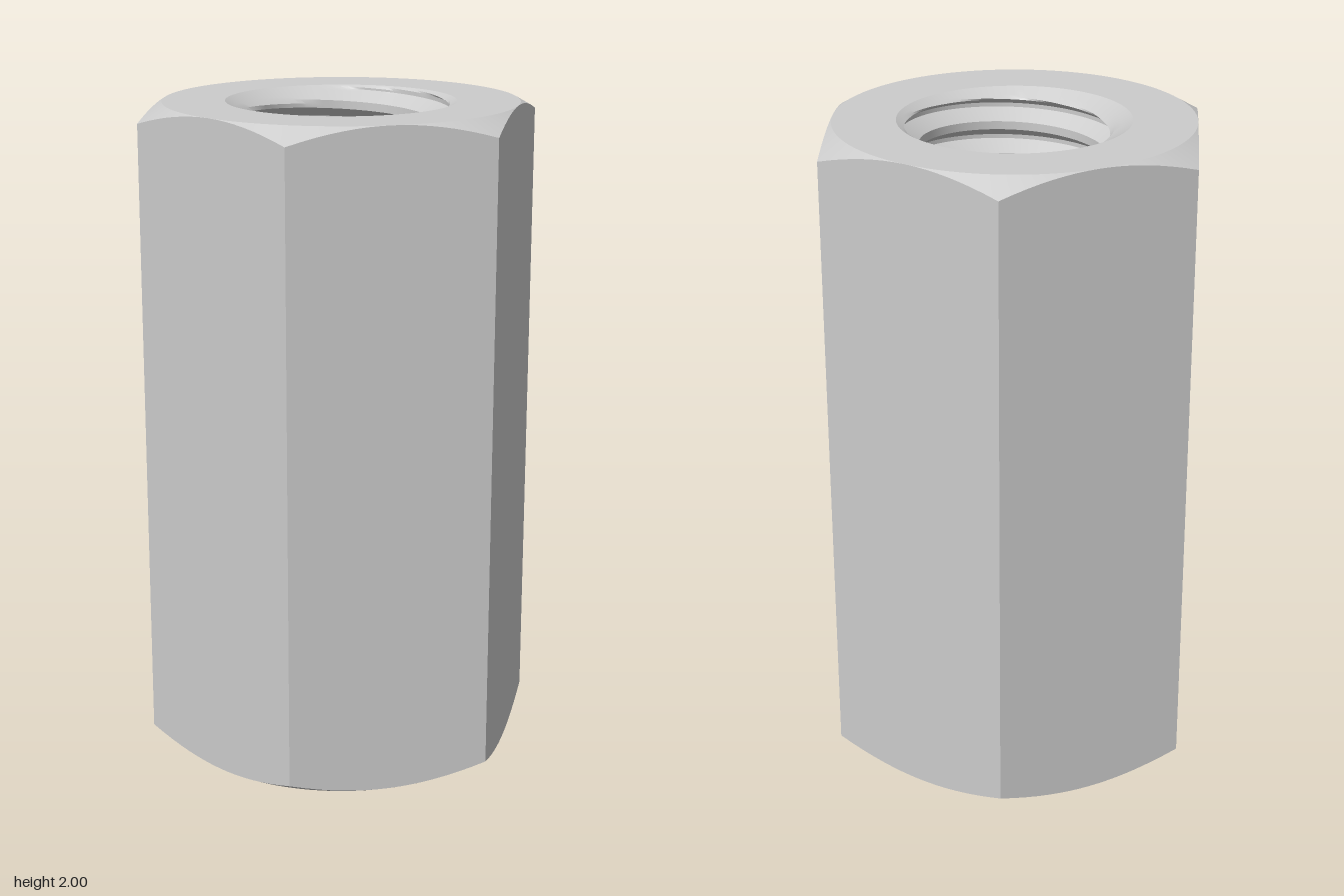
import * as THREE from 'three';
import { toCreasedNormals } from 'three/addons/utils/BufferGeometryUtils.js';

const HEIGHT = 2, APOTHEM = 0.533, SLOPE = Math.tan(Math.PI / 6);
const MINOR = 0.279, MAJOR = 0.333, MOUTH = 0.345, PITCH = 0.1;
const SEGMENTS = 96;

// Surface swept around the y axis; pointAt(angle, row) returns [radius, y].
// The angle runs clockwise seen from above, starting at the back.
function sweep(rows, pointAt, crease) {
  const positions = [];
  const vertex = (i, j) => {
    const angle = (i / SEGMENTS) * Math.PI * 2;
    const [r, y] = pointAt(angle, j);
    return new THREE.Vector3(r * Math.sin(angle), y, -r * Math.cos(angle));
  };
  const addTriangle = (a, b, c) => {
    const area = b.clone().sub(a).cross(c.clone().sub(a)).length();
    if (area > 1e-9) for (const p of [a, b, c]) positions.push(p.x, p.y, p.z);
  };
  for (let i = 0; i < SEGMENTS; i++) {
    for (let j = 0; j < rows - 1; j++) {
      const a = vertex(i, j), b = vertex(i + 1, j);
      const c = vertex(i, j + 1), d = vertex(i + 1, j + 1);
      addTriangle(a, b, c);
      addTriangle(b, d, c);
    }
  }
  const geometry = new THREE.BufferGeometry();
  geometry.setAttribute('position', new THREE.Float32BufferAttribute(positions, 3));
  return toCreasedNormals(geometry, crease);
}

// Hexagonal outside with conical corner chamfers and flat ring ends
function hexBody() {
  const sector = Math.PI / 3;
  return sweep(6, (angle, row) => {
    const off = angle - Math.round(angle / sector) * sector;
    const hexRadius = APOTHEM / Math.cos(off);
    const drop = (hexRadius - APOTHEM) * SLOPE;
    return [
      [MOUTH, HEIGHT], [APOTHEM, HEIGHT], [hexRadius, HEIGHT - drop],
      [hexRadius, drop], [APOTHEM, 0], [MOUTH, 0],
    ][row];
  }, 0.4);
}

// Thread radius by position within one pitch, measured from the root centre
function threadRadius(t) {
  const u = Math.min(t, 1 - t);
  return THREE.MathUtils.mapLinear(THREE.MathUtils.clamp(u, 0.0625, 0.375), 0.0625, 0.375, MAJOR, MINOR);
}

// Right-hand threaded bore, widened by a countersink at each end
function threadedBore() {
  const steps = [0];
  const flank = 6;
  for (let k = 0; k <= flank; k++) steps.push(0.0625 + (0.3125 * k) / flank);
  steps.push(0.5);
  for (let k = 0; k <= flank; k++) steps.push(0.625 + (0.3125 * k) / flank);

  const start = 1.993 + (27 / 360) * PITCH - 21 * PITCH; // a root centre below the base
  return sweep(steps.length * 23, (angle, row) => {
    const turn = Math.floor(row / steps.length), t = steps[row % steps.length];
    const rise = (turn + t - angle / (2 * Math.PI)) * PITCH;
    const y = THREE.MathUtils.clamp(start + rise, 0, HEIGHT);
    const depth = Math.min(y, HEIGHT - y);
    const phase = (y - start) / PITCH + angle / (2 * Math.PI);
    const r = threadRadius(THREE.MathUtils.euclideanModulo(phase, 1));
    return [Math.max(r, MOUTH - depth / SLOPE), y];
  }, 0.5);
}

export function createModel() {
  const material = new THREE.MeshStandardMaterial({ color: 0xcccccc });
  const group = new THREE.Group();
  group.name = 'hexCouplingNut';
  const add = (name, geometry) => {
    const mesh = new THREE.Mesh(geometry, material);
    mesh.name = name;
    group.add(mesh);
  };
  add('hexBody', hexBody());
  add('threadedBore', threadedBore());
  return group;
}
